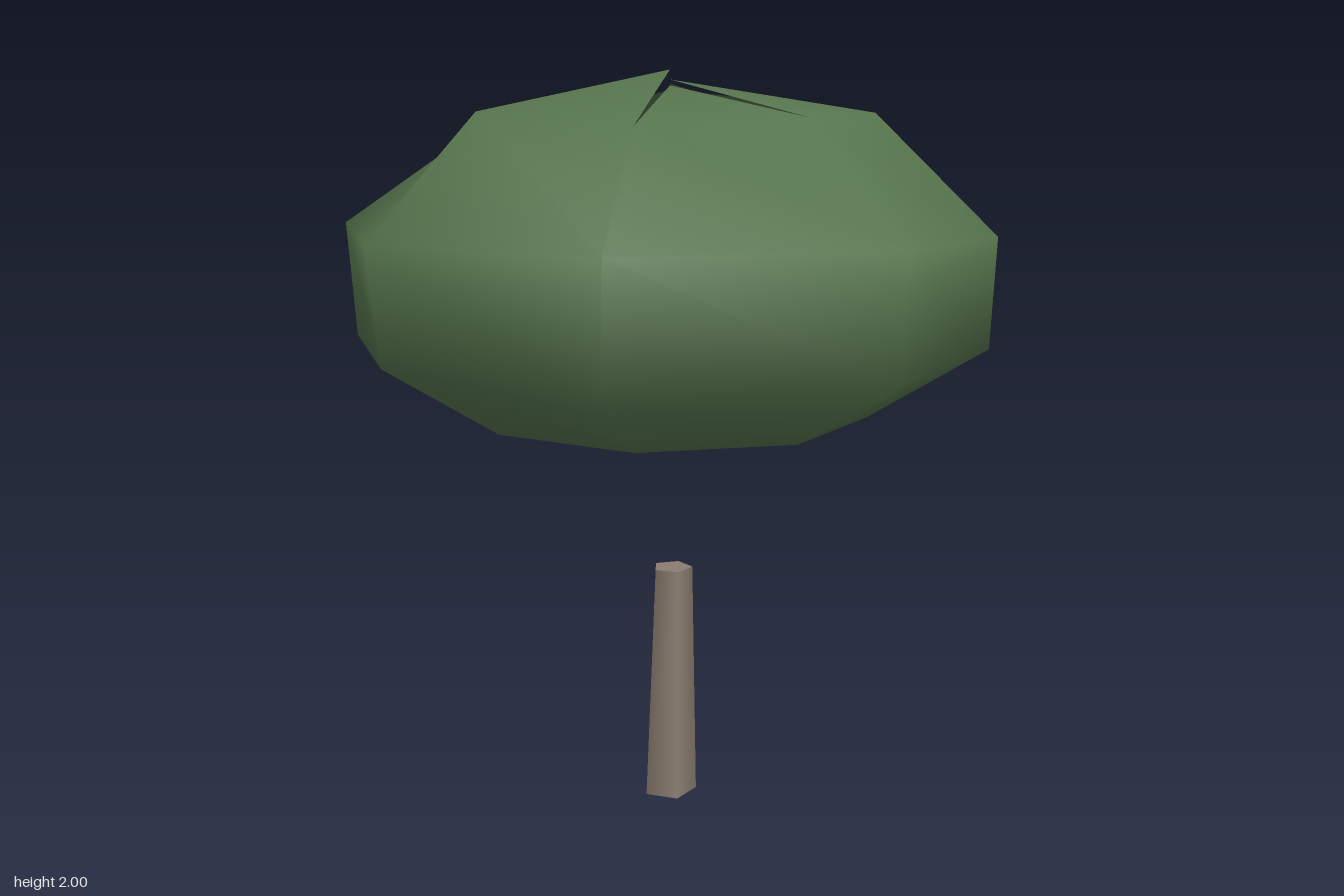
import * as THREE from 'three';

const leafGreen = new THREE.MeshStandardMaterial({ color: 0x56754d, side: THREE.DoubleSide });
leafGreen.name = 'leaf green';
const barkBrown = new THREE.MeshStandardMaterial({ color: 0x8a7d70 });
barkBrown.name = 'bark brown';

// Rings of the crown from top to bottom, each starting at -x and running through +z.
const RING_RADII = [
  [0.54, 0.52, 0.57, 0.52, 0.55, 0.53, 0.48, 0.53],
  [0.865, 0.9, 0.87, 0.88, 0.895, 0.85, 0.83, 0.865],
  [0.9, 0.88, 0.84, 0.915, 0.865, 0.84, 0.87, 0.84],
  [0.56, 0.53, 0.53, 0.53, 0.53, 0.53, 0.52, 0.53],
];
const RING_HEIGHTS = [
  [1.865, 1.85, 1.89, 1.855, 1.875, 1.89, 1.85, 1.87],
  [1.585, 1.6, 1.59, 1.59, 1.59, 1.58, 1.585, 1.59],
  [1.29, 1.29, 1.295, 1.29, 1.29, 1.29, 1.29, 1.29],
  [1.085, 1.1, 1.1, 1.1, 1.1, 1.1, 1.09, 1.1],
];
// Each wedge meets the pole at its own height, leaving narrow slits.
const TOP_TIPS = [1.985, 1.89, 2.0, 1.96, 1.975, 1.95, 1.965, 1.95];
const BOTTOM_TIPS = [1.015, 1.01, 1.03, 1.02, 1.04, 1.015, 1.03, 1.02];

function createCrown() {
  const geometry = new THREE.SphereGeometry(1, 8, 5);
  const pos = geometry.attributes.position;
  const normal = geometry.attributes.normal;
  const n = new THREE.Vector3();
  for (let row = 0; row <= 5; row++) {
    for (let col = 0; col <= 8; col++) {
      const i = row * 9 + col;
      // Smooth normals of the flattened ball
      n.set(normal.getX(i) / 0.92, normal.getY(i) / 0.48, normal.getZ(i) / 0.92).normalize();
      normal.setXYZ(i, n.x, n.y, n.z);
      if (row === 0) pos.setXYZ(i, 0, TOP_TIPS[col % 8], 0);
      else if (row === 5) pos.setXYZ(i, 0, BOTTOM_TIPS[(col + 7) % 8], 0);
      else {
        const angle = ((col % 8) / 8) * Math.PI * 2;
        const r = RING_RADII[row - 1][col % 8];
        pos.setXYZ(i, -Math.cos(angle) * r, RING_HEIGHTS[row - 1][col % 8], Math.sin(angle) * r);
      }
    }
  }
  const mesh = new THREE.Mesh(geometry, leafGreen);
  mesh.name = 'crown';
  return mesh;
}

function createTrunk() {
  const height = 0.665;
  const geometry = new THREE.CylinderGeometry(0.056, 0.078, height, 5);
  geometry.translate(0, height / 2, 0);
  const pos = geometry.attributes.position;
  // Lean slightly toward +x
  for (let i = 0; i < pos.count; i++) {
    pos.setX(i, pos.getX(i) + 0.016 * (pos.getY(i) / height));
    pos.setZ(i, pos.getZ(i) + 0.004);
  }
  const mesh = new THREE.Mesh(geometry, barkBrown);
  mesh.name = 'trunk';
  return mesh;
}

export function createModel() {
  const tree = new THREE.Group();
  tree.name = 'tree';
  tree.add(createCrown(), createTrunk());
  return tree;
}
